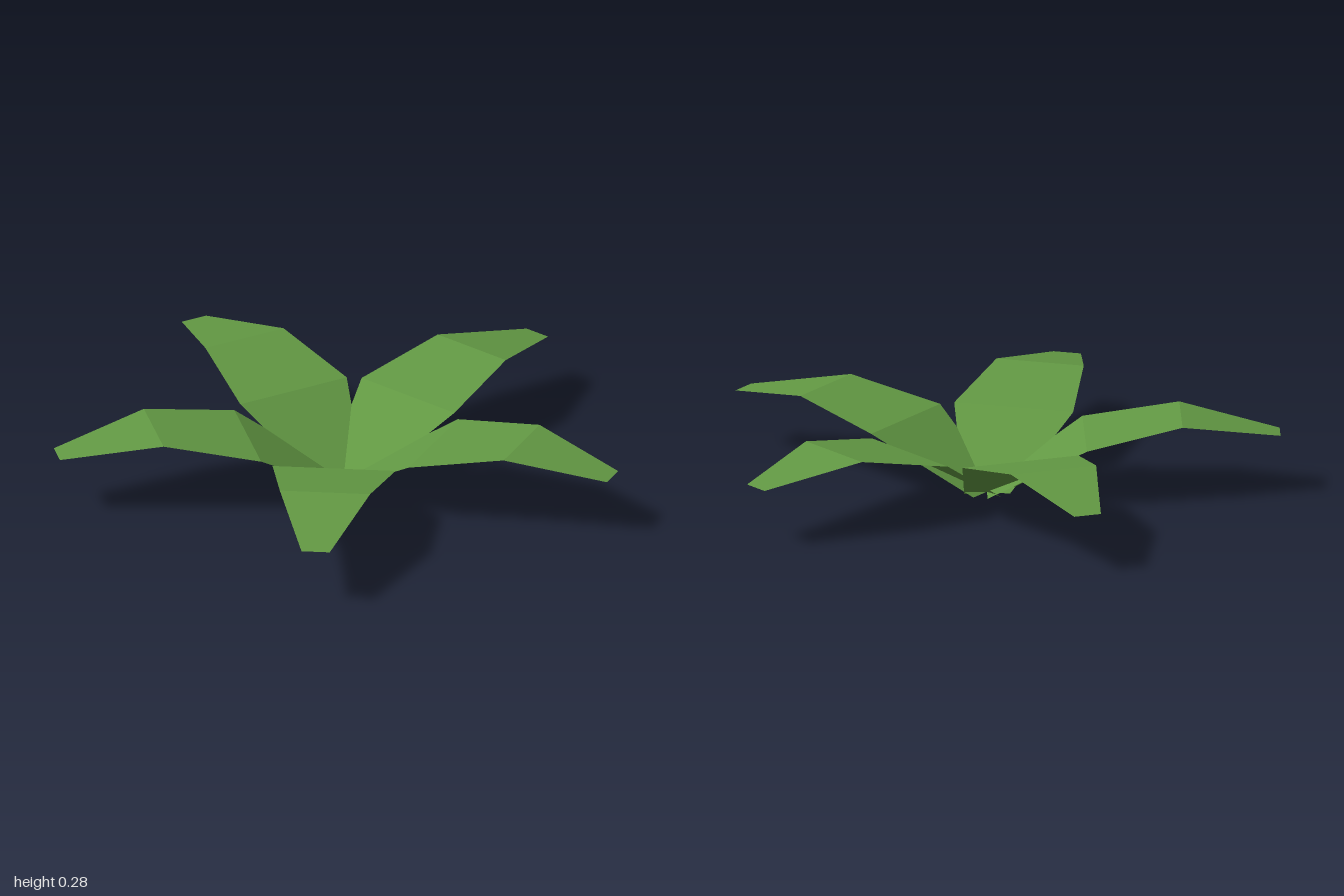
import * as THREE from 'three';

const LEAVES = 5;
// Leaf stations from stem to tip: [distance from stem, height, half width]
const STATIONS = [
  [0, 0, 0.085],
  [0.345, 0.21, 0.218],
  [0.685, 0.277, 0.16],
  [1.035, 0.21, 0.05],
];

// One folded leaf blade pointing along +x
function leafGeometry() {
  const geometry = new THREE.PlaneGeometry(1, 1, 1, STATIONS.length - 1);
  const position = geometry.attributes.position;
  STATIONS.forEach(([r, y, w], i) => {
    position.setXYZ(i * 2, r, y, -w);
    position.setXYZ(i * 2 + 1, r, y, w);
  });
  // Reverse the winding so the upper side is the front
  const index = geometry.index;
  for (let i = 0; i < index.count; i += 3) {
    const b = index.getX(i + 1);
    index.setX(i + 1, index.getX(i + 2));
    index.setX(i + 2, b);
  }
  const flat = geometry.toNonIndexed();
  flat.computeVertexNormals();
  // Make sure the blade faces up
  if (flat.attributes.normal.getY(0) < 0) {
    const p = flat.attributes.position;
    const a = new THREE.Vector3(), c = new THREE.Vector3();
    for (let i = 0; i < p.count; i += 3) {
      a.fromBufferAttribute(p, i);
      c.fromBufferAttribute(p, i + 2);
      p.setXYZ(i, c.x, c.y, c.z);
      p.setXYZ(i + 2, a.x, a.y, a.z);
    }
    flat.computeVertexNormals();
  }
  return flat;
}

export function createModel() {
  const model = new THREE.Group();
  model.name = 'plant';

  const leafGreen = new THREE.MeshStandardMaterial({
    color: 0x629843, flatShading: true, side: THREE.DoubleSide,
  });
  leafGreen.name = 'leaf green';

  // Rosette of equal leaves around the stem point
  const rosette = new THREE.Group();
  rosette.name = 'leafRosette';
  rosette.position.x = -0.086;
  const geometry = leafGeometry();
  for (let i = 0; i < LEAVES; i++) {
    const leaf = new THREE.Mesh(geometry, leafGreen);
    leaf.name = `leaf${i + 1}`;
    leaf.rotation.y = (i / LEAVES) * Math.PI * 2;
    rosette.add(leaf);
  }
  model.add(rosette);
  return model;
}
